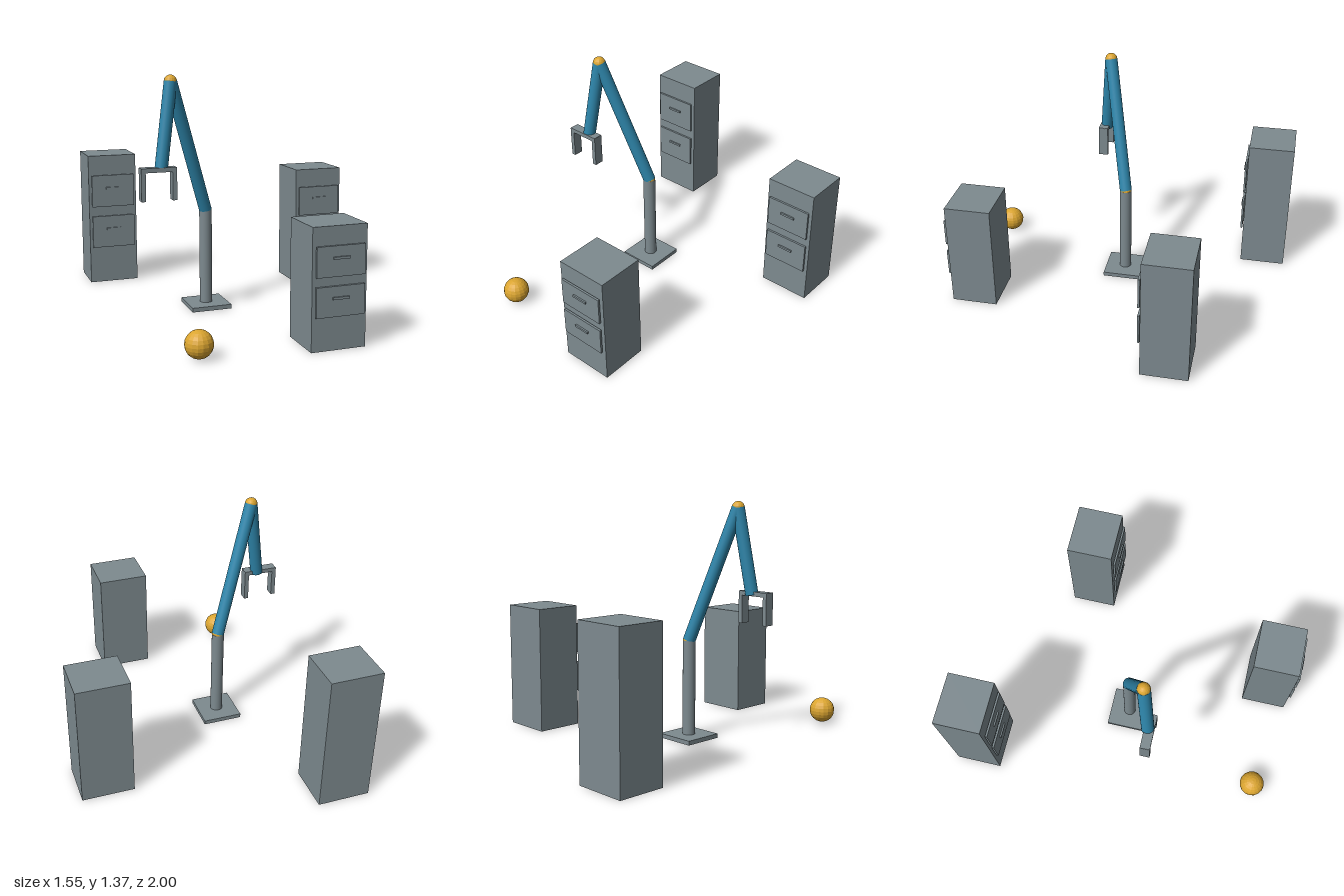
import * as THREE from 'three';

export function createModel() {
  const model = new THREE.Group();
  const material = (name, color, flatShading = false) => {
    const m = new THREE.MeshStandardMaterial({ color, flatShading });
    m.name = name;
    return m;
  };
  const steel = material('steelGrey', 0x7d8a8f);
  const blue = material('armBlue', 0x2e86ab);
  const amber = material('amber', 0xdba530, true);

  const add = (parent, name, geometry, mat, x, y, z) => {
    const mesh = new THREE.Mesh(geometry, mat);
    mesh.name = name;
    mesh.position.set(x, y, z);
    parent.add(mesh);
    return mesh;
  };
  const box = (parent, name, w, h, d, x, y, z) =>
    add(parent, name, new THREE.BoxGeometry(w, h, d), steel, x, y, z);

  // Cylinder running between two points
  const rod = (parent, name, a, b, r, mat) => {
    const dir = b.clone().sub(a);
    const mid = a.clone().add(b).multiplyScalar(0.5);
    const mesh = add(parent, name, new THREE.CylinderGeometry(r, r, dir.length(), 32), mat, mid.x, mid.y, mid.z);
    mesh.quaternion.setFromUnitVectors(new THREE.Vector3(0, 1, 0), dir.normalize());
  };

  // Filing cabinets: two drawer fronts with handles, facing +z
  const W = 0.305, D = 0.275;
  const cabinets = [
    ['backCabinet', -0.622, -0.8625, 0.825],
    ['sideCabinet', 0.62, -0.411, 0.737],
    ['frontCabinet', 0.169, 0.8355, 0.652],
  ];
  for (const [name, x, z, h] of cabinets) {
    const cabinet = new THREE.Group();
    cabinet.name = name;
    cabinet.position.set(x, 0, z);
    box(cabinet, 'cabinetBody', W, h, D, 0, h / 2, 0);
    for (const level of [0.404, 0.725]) {
      const y = h * level;
      box(cabinet, 'drawerFront', 0.27, h * 0.246, 0.012, 0, y, D / 2 + 0.012);
      box(cabinet, 'drawerHandle', 0.0915, 0.013, 0.012, 0, y + 0.018, D / 2 + 0.021);
    }
    model.add(cabinet);
  }

  // Robot arm: base plate, column, two links and ball joints
  const arm = new THREE.Group();
  arm.name = 'robotArm';
  model.add(arm);
  const R = 0.0366;
  const foot = new THREE.Vector3(-0.228, 0.02, 0);
  const shoulder = new THREE.Vector3(-0.228, 0.578, 0);
  const elbow = new THREE.Vector3(-0.469, 1.337, 0.139);
  const wrist = new THREE.Vector3(-0.541, 0.853, 0.182);
  box(arm, 'basePlate', 0.237, 0.025, 0.237, -0.228, 0.0125, 0);
  rod(arm, 'column', foot, shoulder, R, steel);
  rod(arm, 'upperArm', shoulder, elbow, R, blue);
  rod(arm, 'forearm', elbow, wrist, R, blue);
  for (const [name, p] of [['shoulderJoint', shoulder], ['elbowJoint', elbow]]) {
    add(arm, name, new THREE.SphereGeometry(R, 16, 12), amber, p.x, p.y, p.z);
  }

  // Two-finger gripper
  const gripper = new THREE.Group();
  gripper.name = 'gripper';
  gripper.position.set(-0.561, 0, 0.191);
  box(gripper, 'crossbar', 0.2, 0.025, 0.057, 0, 0.8595, 0);
  for (const side of [-1, 1]) {
    box(gripper, 'finger', 0.025, 0.182, 0.057, side * 0.0885, 0.779, 0);
  }
  arm.add(gripper);

  // Loose ball on the floor
  add(model, 'ball', new THREE.SphereGeometry(0.075, 16, 12), amber, -0.541, 0.078, 0.858);

  return model;
}
